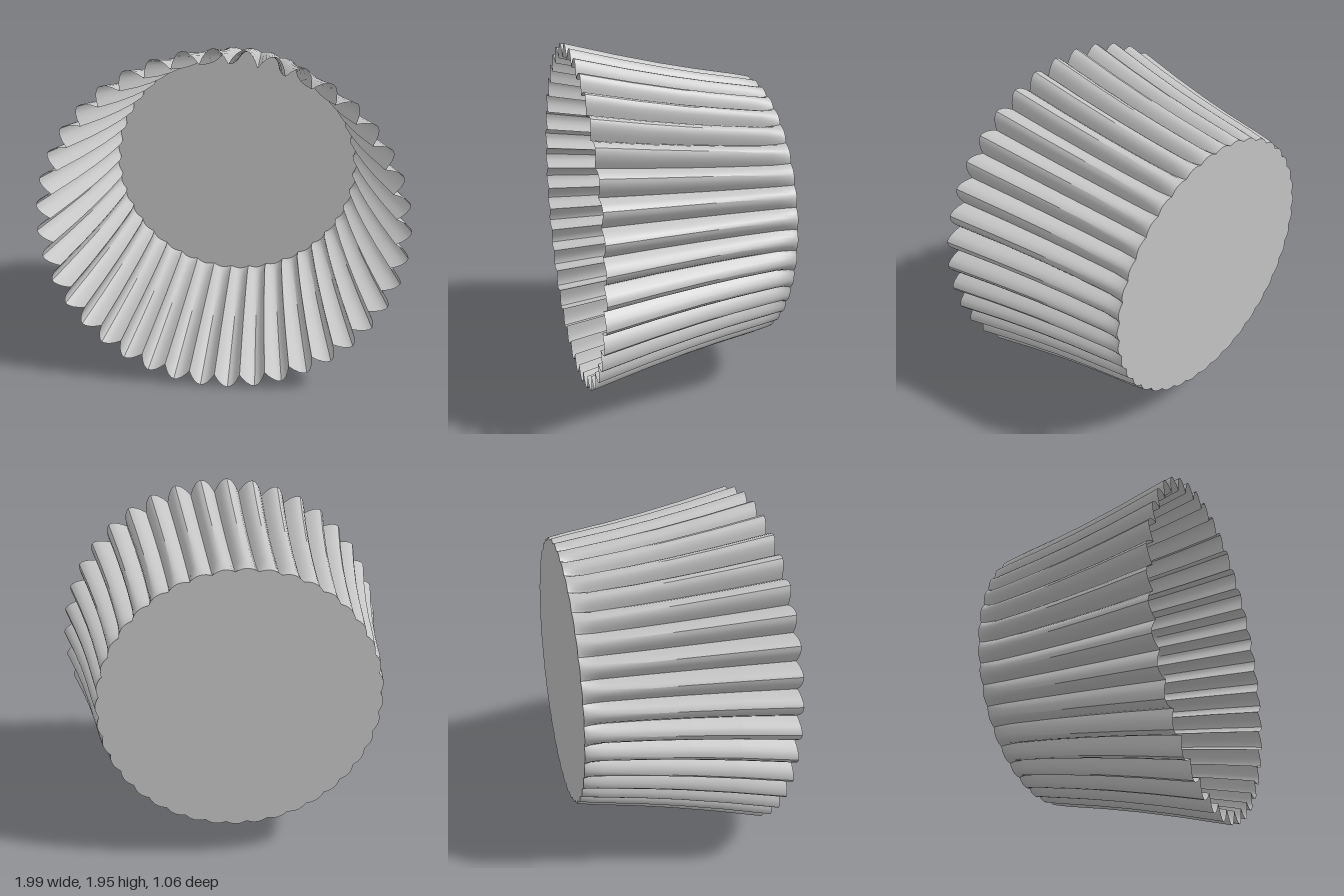
import * as THREE from 'three';
import { toCreasedNormals } from 'three/addons/utils/BufferGeometryUtils.js';

const FLUTES = 40, STEPS = 8, COUNT = FLUTES * STEPS;
const PHASE = THREE.MathUtils.degToRad(2);
const CENTRE_Y = 0.977;

// Cross-sections from base to rim: z, crest radius, flute depth
const sections = [
  [-0.53, 0.762, 0.016],
  [-0.5, 0.769, 0.032],
  [-0.43, 0.783, 0.05],
  [-0.2, 0.822, 0.06],
  [0, 0.861, 0.066],
  [0.25, 0.917, 0.073],
  [0.53, 0.987, 0.078],
];

// Rounded crests meeting in sharp valleys
function ringPoint([z, crest, depth], i) {
  const angle = (i / COUNT) * Math.PI * 2 + PHASE;
  const t = (((i + STEPS / 2) % STEPS) / STEPS) * 2 - 1;
  const r = crest - depth * Math.pow(Math.abs(t), 1.8);
  return [r * 1.01 * Math.cos(angle), CENTRE_Y + r * 0.99 * Math.sin(angle), z];
}

function buildGeometry(points, index) {
  const g = new THREE.BufferGeometry();
  g.setAttribute('position', new THREE.Float32BufferAttribute(points.flat(), 3));
  g.setIndex(index);
  return toCreasedNormals(g, 0.6);
}

// Pleated wall lofted through the sections
function wallGeometry() {
  const points = [], index = [];
  sections.forEach((s, row) => {
    for (let i = 0; i < COUNT; i++) {
      points.push(ringPoint(s, i));
      if (row === 0) continue;
      const j = (i + 1) % COUNT, lo = (row - 1) * COUNT, hi = row * COUNT;
      index.push(lo + i, lo + j, hi + j, lo + i, hi + j, hi + i);
    }
  });
  return buildGeometry(points, index);
}

// Flat base with the same scalloped edge as the wall
function baseGeometry() {
  const points = [[0, CENTRE_Y, sections[0][0]]], index = [];
  for (let i = 0; i < COUNT; i++) {
    points.push(ringPoint(sections[0], i));
    index.push(0, 1 + ((i + 1) % COUNT), 1 + i);
  }
  return buildGeometry(points, index);
}

export function createModel() {
  const paper = new THREE.MeshStandardMaterial({ color: 0xc4c4c4, side: THREE.DoubleSide });
  paper.name = 'paper grey';

  const cup = new THREE.Group();
  cup.name = 'bakingCup';

  const wall = new THREE.Mesh(wallGeometry(), paper);
  wall.name = 'pleatedWall';
  const base = new THREE.Mesh(baseGeometry(), paper);
  base.name = 'base';

  cup.add(wall, base);
  return cup;
}
